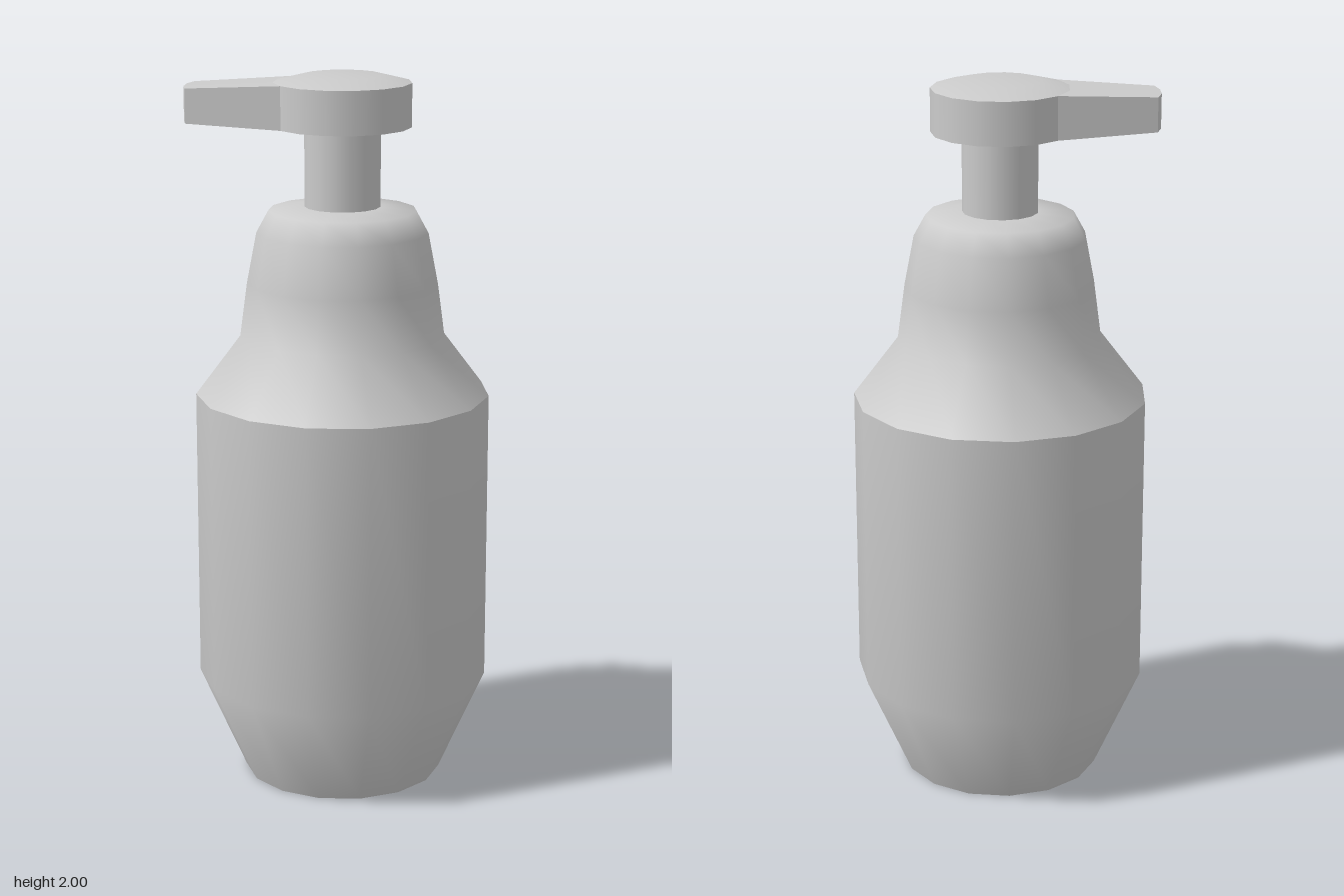
import * as THREE from 'three';
import { ConvexGeometry } from 'three/addons/geometries/ConvexGeometry.js';

const SIDES = 15;

export function createModel() {
  const group = new THREE.Group();
  const material = new THREE.MeshStandardMaterial({ color: 0xcccccc });

  const add = (name, geometry) => {
    const mesh = new THREE.Mesh(geometry, material);
    mesh.name = name;
    group.add(mesh);
  };
  // One smooth band of revolution, with a corner on the +x axis
  const band = (name, points) => add(name, new THREE.LatheGeometry(
    points.map(([r, y]) => new THREE.Vector2(r, y)), SIDES, Math.PI / 2));

  // Bottle: separate bands keep the edges between them sharp
  band('base', [[0, 0], [0.28, 0]]);
  band('bottleBody', [[0.28, 0], [0.41, 0.295], [0.41, 1.115]]);
  band('shoulder', [[0.41, 1.115], [0.285, 1.28], [0.265, 1.43], [0.238, 1.57], [0.205, 1.63], [0.105, 1.64]]);

  // Pump stem and head
  band('pumpStem', [[0.105, 1.635], [0.105, 1.86]]);
  band('pumpHeadUnderside', [[0, 1.86], [0.19, 1.86]]);
  band('pumpHeadSide', [[0.19, 1.86], [0.19, 1.98]]);
  band('pumpHeadTop', [[0.19, 1.98], [0.11, 2], [0, 2]]);

  // Nozzle: tapers from four corners of the head to a rounded tip
  const corners = [];
  for (let i = 5; i <= 8; i++) {
    const a = (i / SIDES) * Math.PI * 2;
    for (const y of [1.86, 1.98]) {
      corners.push(new THREE.Vector3(0.19 * Math.cos(a), y, 0.19 * Math.sin(a)));
    }
  }
  for (const [x, z] of [[-0.41, 0.115], [-0.4, 0.165], [-0.376, 0.215], [-0.343, 0.257]]) {
    for (const y of [1.872, 1.967]) corners.push(new THREE.Vector3(x, y, z));
  }
  add('nozzle', new ConvexGeometry(corners));

  return group;
}
